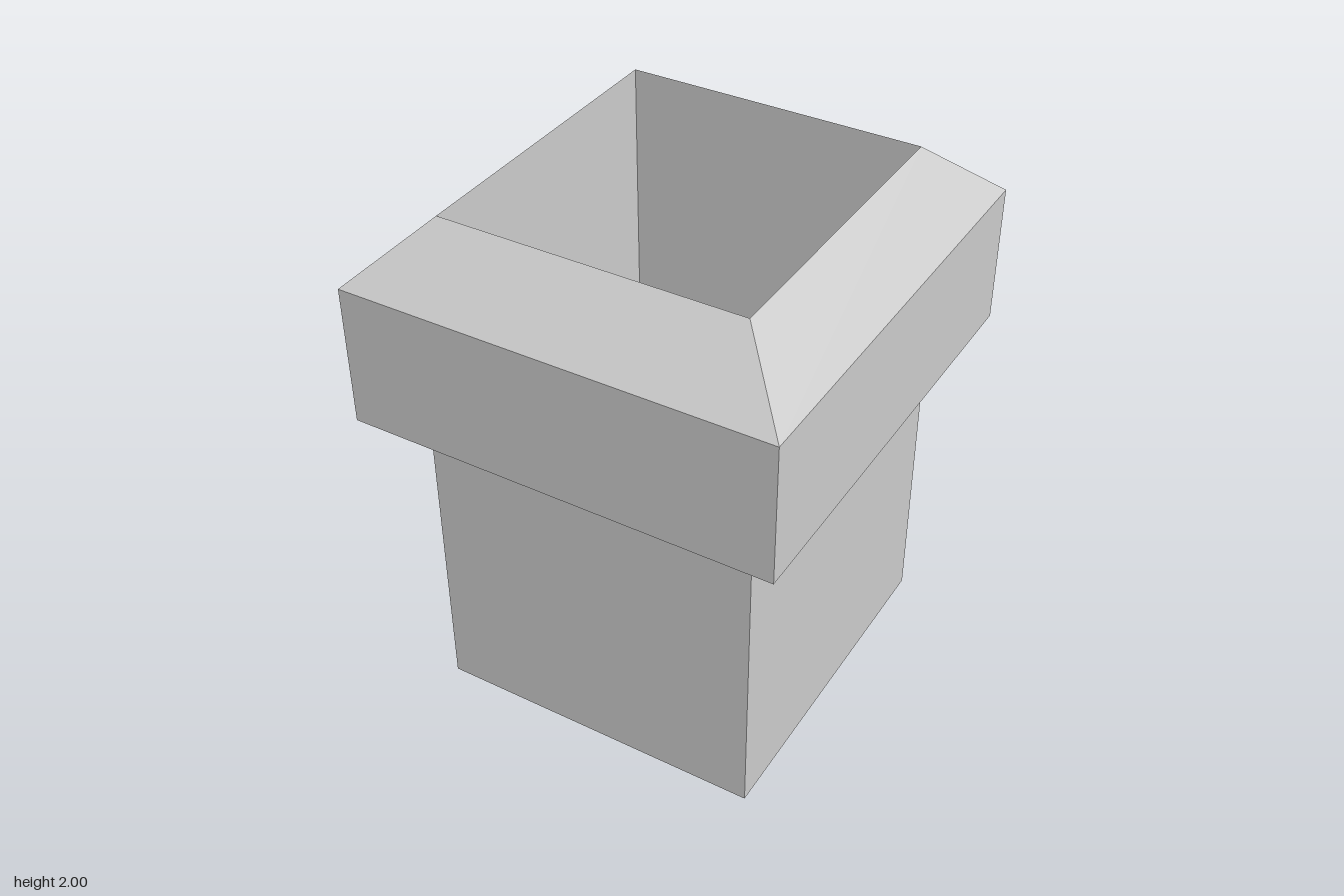
import * as THREE from 'three';

// Rectangular sleeve through rings of [halfX, y, halfZ], open at both ends
function sleeve(rings) {
  const corners = ([x, y, z]) => [[x, y, z], [x, y, -z], [-x, y, -z], [-x, y, z]];
  const positions = [];
  for (let r = 0; r < rings.length - 1; r++) {
    const low = corners(rings[r]);
    const high = corners(rings[r + 1]);
    for (let i = 0; i < 4; i++) {
      const j = (i + 1) % 4;
      for (const p of [low[i], low[j], high[j], low[i], high[j], high[i]]) positions.push(...p);
    }
  }
  const geometry = new THREE.BufferGeometry();
  geometry.setAttribute('position', new THREE.Float32BufferAttribute(positions, 3));
  geometry.computeVertexNormals();
  return geometry;
}

export function createModel() {
  const group = new THREE.Group();
  const stone = new THREE.MeshStandardMaterial({ color: 0xcccccc, side: THREE.DoubleSide });
  stone.name = 'lightGrey';

  const add = (name, geometry) => {
    const mesh = new THREE.Mesh(geometry, stone);
    mesh.name = name;
    group.add(mesh);
    return mesh;
  };

  const rim = [0.565, 2, 0.595];
  const linerBase = 0.34;

  // Thin open body, its top tucked up inside the collar
  add('body', sleeve([[0.63, 0, 0.66], [0.63, 1.385, 0.66]]));

  // Upright collar with its sloping shoulder, open underneath
  add('collar', sleeve([[0.798, 1.255, 0.835], [0.798, 1.782, 0.835], rim]));

  // Inner well from the rim down to a floor, wound to face inwards
  add('innerWell', sleeve([rim, [rim[0], linerBase, rim[2]]]));
  const floor = add('wellFloor', new THREE.PlaneGeometry(rim[0] * 2, rim[2] * 2).rotateX(-Math.PI / 2));
  floor.position.y = linerBase;

  return group;
}
